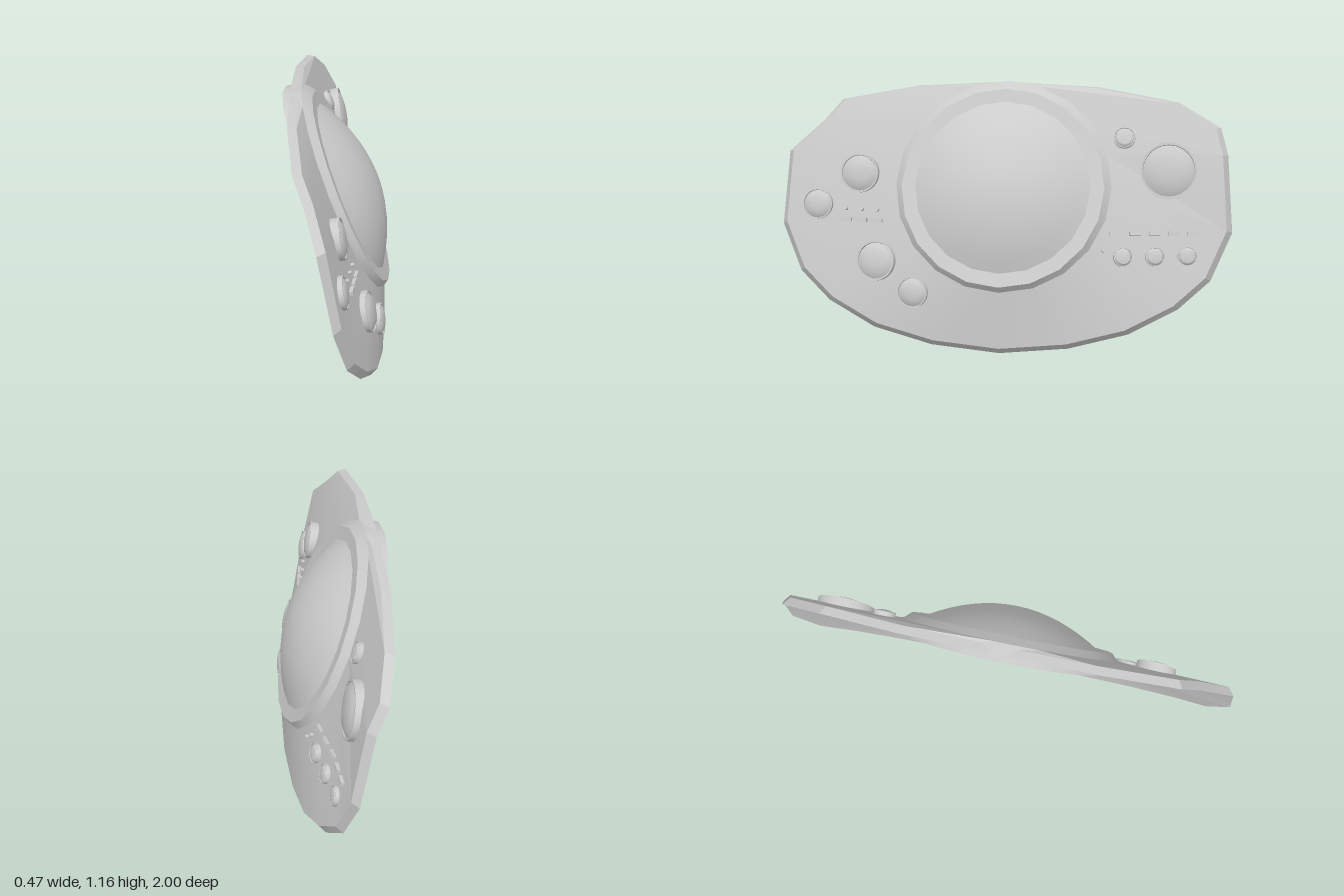
import * as THREE from 'three';
import { toCreasedNormals } from 'three/addons/utils/BufferGeometryUtils.js';

const SIDES = 20;
const material = new THREE.MeshStandardMaterial({ color: 0xcccccc, side: THREE.DoubleSide });

// Skin between closed loops of points, listed from front centre outwards and round to the back
function loft(loops) {
  const n = loops[0].length, index = [];
  for (let j = 0; j < loops.length - 1; j++) {
    for (let i = 0; i < n; i++) {
      const k = (i + 1) % n;
      const a = j * n + i, b = (j + 1) * n + i, c = (j + 1) * n + k, d = j * n + k;
      index.push(a, c, b, a, d, c);
    }
  }
  const g = new THREE.BufferGeometry();
  g.setAttribute('position', new THREE.Float32BufferAttribute(loops.flat(2), 3));
  g.setIndex(index);
  g.computeVertexNormals();
  return g;
}

// Tilted circle around the window; x is the depth of its centre
function circle(r, x, slope = 0.416) {
  return Array.from({ length: SIDES }, (_, i) => {
    const a = (i / SIDES) * Math.PI * 2;
    const dy = -Math.cos(a) * r * 0.923;
    return [x - slope * dy, 0.72 + dy, Math.sin(a) * r];
  });
}

function add(parent, name, geometry) {
  const m = new THREE.Mesh(geometry, material);
  m.name = name;
  parent.add(m);
  return m;
}

export function createModel() {
  const model = new THREE.Group();
  model.name = 'controlPanel';

  // Rear outline [x, y, z]: bottom, left end with its notch, top, right end
  const lower = [[0.176, 0.03, 0.3], [0.15, 0.095, 0.56], [0.105, 0.2, 0.77], [0.052, 0.32, 0.91], [0, 0.525, 1]];
  const outline = [
    [0.187, 0.003, 0], ...lower,
    [-0.063, 0.845, 0.976], [-0.116, 0.98, 0.826], [-0.16, 1.07, 0.75], [-0.196, 1.132, 0.4],
    [-0.205, 1.152, 0],
    [-0.196, 1.132, -0.41], [-0.16, 1.073, -0.76], [-0.116, 0.968, -0.944], [-0.063, 0.855, -0.976],
    ...lower.map(([x, y, z]) => [x, y, -z]).reverse(),
  ];
  // Front outline: pushed forward along the tilt and drawn slightly inwards
  const frontOutline = outline.map(([x, y, z]) => {
    const up = (y - 0.58) / 0.58;
    return [x + 0.032 + 0.006 * up, y + 0.013 - 0.014 * up, z * 0.975];
  });

  const panel = add(model, 'panel', toCreasedNormals(
    loft([circle(0.475, 0.03), frontOutline, outline, circle(0.465, 0.0)]), 0.25));

  // Raised frame around the window, standing out at the back as well
  add(model, 'windowFrame', toCreasedNormals(loft([
    circle(0.385, 0.06), circle(0.445, 0.0625), circle(0.477, 0.028), circle(0.468, -0.03, 0.475),
    circle(0.425, -0.03, 0.475), circle(0.425, 0.02), circle(0.39, 0.02), circle(0.385, 0.06),
  ]), 0.4));

  // Shallow domed window
  const domeLoops = [];
  for (let j = 0; j <= 8; j++) {
    const t = Math.max(j / 8, 0.001);
    const h = 0.12 * (1 - t * t);
    domeLoops.push(circle(0.385 * t, 0.06).map(([x, y, z]) => [x + h * 0.923, y + h * 0.384, z]));
  }
  add(model, 'dome', loft(domeLoops));

  // Seats a part on the panel surface, turning its given axis to the surface normal
  const ray = new THREE.Raycaster();
  function seat(mesh, z, y, axis) {
    ray.set(new THREE.Vector3(2, y, z), new THREE.Vector3(-1, 0, 0));
    const hit = ray.intersectObject(panel)[0];
    const normal = hit ? hit.face.normal.clone() : new THREE.Vector3(0.93, 0.36, 0);
    if (normal.x < 0) normal.negate();
    mesh.position.set(hit ? hit.point.x : 0.25 - 0.35 * y, y, z);
    mesh.quaternion.setFromUnitVectors(axis, normal);
  }
  const Y = new THREE.Vector3(0, 1, 0), X = new THREE.Vector3(1, 0, 0);

  // Round gauges: a rim with a slightly domed cap [z, y, radius]
  const gauges = [
    [0.64, 0.76, 0.086], [0.83, 0.62, 0.068], [0.55, 0.39, 0.088], [0.38, 0.265, 0.068],
    [-0.525, 0.925, 0.047], [-0.72, 0.79, 0.124],
    [-0.53, 0.43, 0.042], [-0.667, 0.43, 0.042], [-0.807, 0.43, 0.042],
  ];
  for (const [z, y, r] of gauges) {
    const h = 0.012 + r * 0.12;
    const profile = [
      [r, -0.02], [r, h], [r * 0.92, h], [r * 0.9, h - 0.006],
      [r * 0.7, h + r * 0.06], [r * 0.4, h + r * 0.12], [0, h + r * 0.15],
    ].map(([a, b]) => new THREE.Vector2(a, b));
    const g = toCreasedNormals(new THREE.LatheGeometry(profile, 24), 0.5);
    seat(add(model, 'gauge', g), z, y, Y);
  }

  // Slim bar switches
  const bars = [0.695, 0.625, 0.555].map(z => [z, 0.56])
    .concat([-0.495, -0.58, -0.665, -0.75, -0.83].map(z => [z, 0.527]));
  for (const [z, y] of bars) {
    seat(add(model, 'barSwitch', new THREE.BoxGeometry(0.03, 0.016, 0.05)), z, y, X);
  }

  // Tiny indicator studs
  const studs = [[0.7, 0.605], [0.625, 0.605], [0.555, 0.605], [-0.41, 0.425], [-0.445, 0.46]];
  for (const [z, y] of studs) {
    seat(add(model, 'stud', new THREE.CylinderGeometry(0.008, 0.008, 0.03, 10)), z, y, Y);
  }
  return model;
}
